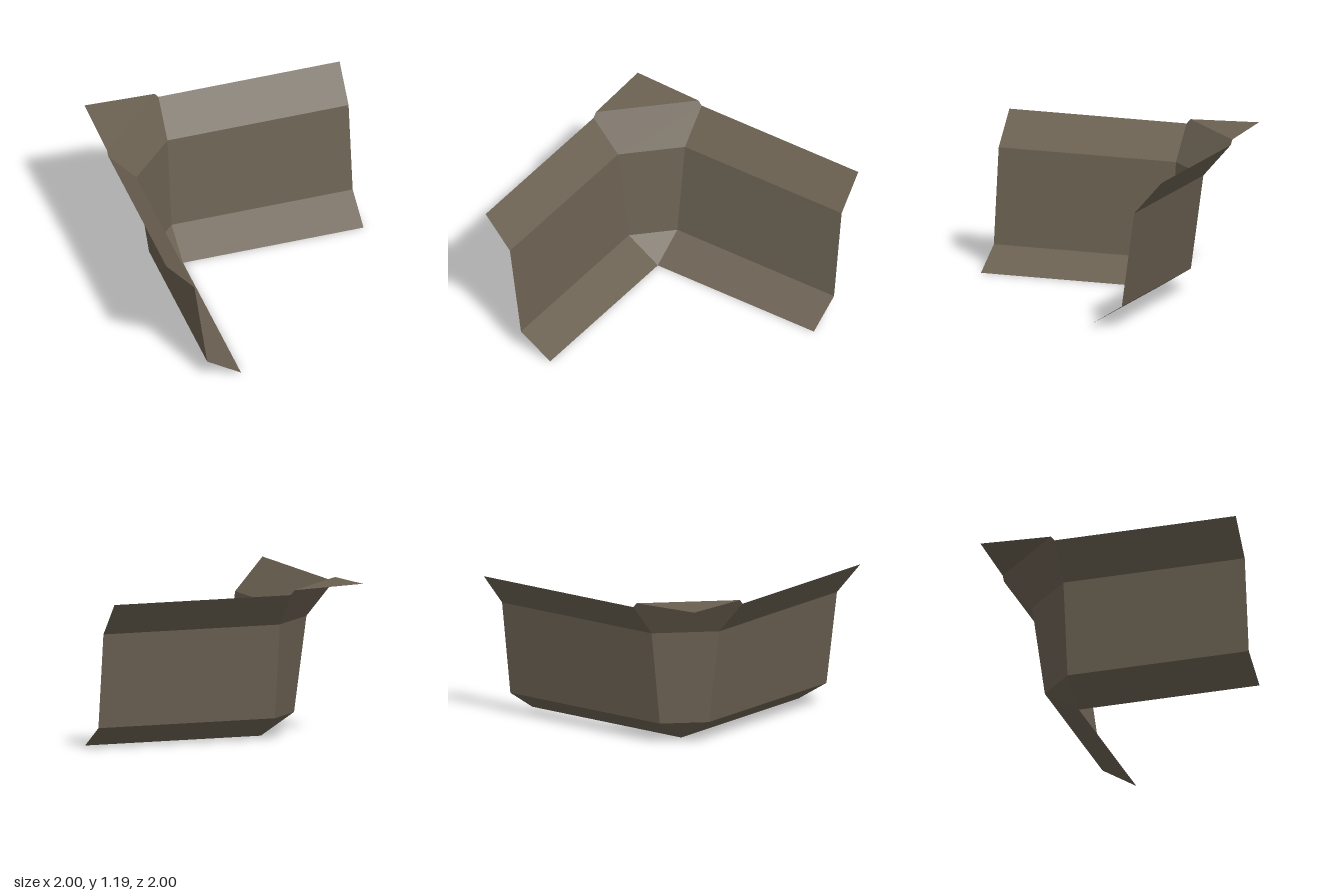
import * as THREE from 'three';

// Cross-section shared by both arms: [distance from centre, height], foot to rim
const PROFILE = [[-0.415, 0], [-0.68, 0.165], [-0.78, 0.885], [-1, 1.135]];
const INNER = [-0.415, -0.42, -0.42, -0.42]; // where each profile point meets the corner
const NAMES = ['FootSlope', 'Wall', 'UpperSlope'];

// Flat convex panel, corners counter-clockwise seen from the inside of the bend
function panel(name, pts, material) {
  const pos = [];
  for (let i = 1; i < pts.length - 1; i++) pos.push(...pts[0], ...pts[i], ...pts[i + 1]);
  const geo = new THREE.BufferGeometry();
  geo.setAttribute('position', new THREE.Float32BufferAttribute(pos, 3));
  geo.computeVertexNormals();
  const mesh = new THREE.Mesh(geo, material);
  mesh.name = name;
  return mesh;
}

// Swap x and z, keeping the facing
const mirror = (pts) => pts.map(([x, y, z]) => [z, y, x]).reverse();

export function createModel() {
  const group = new THREE.Group();
  group.name = 'cornerTrim';
  const stone = new THREE.MeshStandardMaterial({ color: 0x6b6152, side: THREE.DoubleSide });
  stone.name = 'brown grey';

  const backArm = new THREE.Group();
  backArm.name = 'backArm';
  const sideArm = new THREE.Group();
  sideArm.name = 'sideArm';
  const corner = new THREE.Group();
  corner.name = 'corner';
  group.add(backArm, sideArm, corner);

  // Two mirrored arms
  NAMES.forEach((name, i) => {
    const [z0, y0] = PROFILE[i];
    const [z1, y1] = PROFILE[i + 1];
    const pts = [[INNER[i], y0, z0], [1, y0, z0], [1, y1, z1], [INNER[i + 1], y1, z1]];
    backArm.add(panel('back' + name, pts, stone));
    sideArm.add(panel('side' + name, mirror(pts), stone));
  });

  // Diagonal corner: right-hand points, each with a mirrored left-hand partner
  const right = PROFILE.map(([z, y], i) => [INNER[i], y, z]);
  const rim = [-0.45, 1.17, -1];
  const left = ([x, y, z]) => [z, y, x];
  corner.add(
    panel('cornerFoot', [right[0], right[1], left(right[1])], stone),
    panel('cornerWall', [left(right[1]), right[1], right[2], left(right[2])], stone),
    panel('cornerUpperSlope',
      [left(right[2]), right[2], right[3], rim, left(rim), left(right[3])], stone),
    // Nearly level triangle filling the outer corner
    panel('cornerCap', [left(rim), rim, [-1, 1.19, -1]], stone),
  );
  return group;
}
